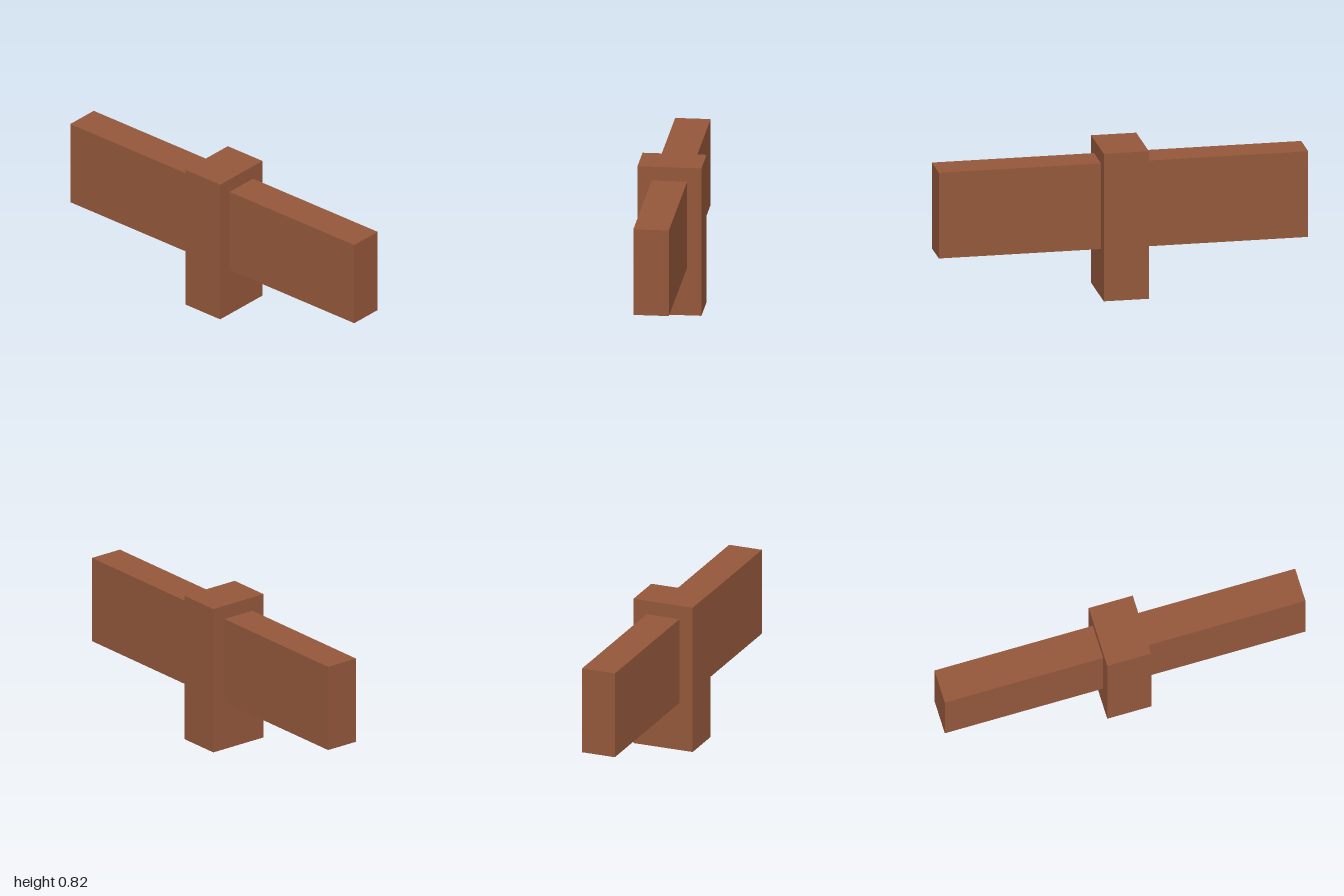
import * as THREE from 'three';

export function createModel() {
  const model = new THREE.Group();
  model.name = 'crossedBeams';
  const wood = new THREE.MeshStandardMaterial({ color: 0x94573b });
  wood.name = 'brown wood';

  const addBlock = (name, width, bottom, top, depth, z = 0) => {
    const mesh = new THREE.Mesh(new THREE.BoxGeometry(width, top - bottom, depth), wood);
    mesh.name = name;
    mesh.position.set(0, (bottom + top) / 2, z);
    model.add(mesh);
  };

  // Upright post
  const postDepth = 0.244;
  addBlock('post', 0.342, 0, 0.82, postDepth);

  // Beam halves, butting against the post's front and back
  const armLength = 1 - postDepth / 2;
  for (const side of [1, -1]) {
    addBlock(side > 0 ? 'frontBeam' : 'backBeam', 0.19, 0.268, 0.744, armLength, side * (1 - armLength / 2));
  }
  return model;
}
